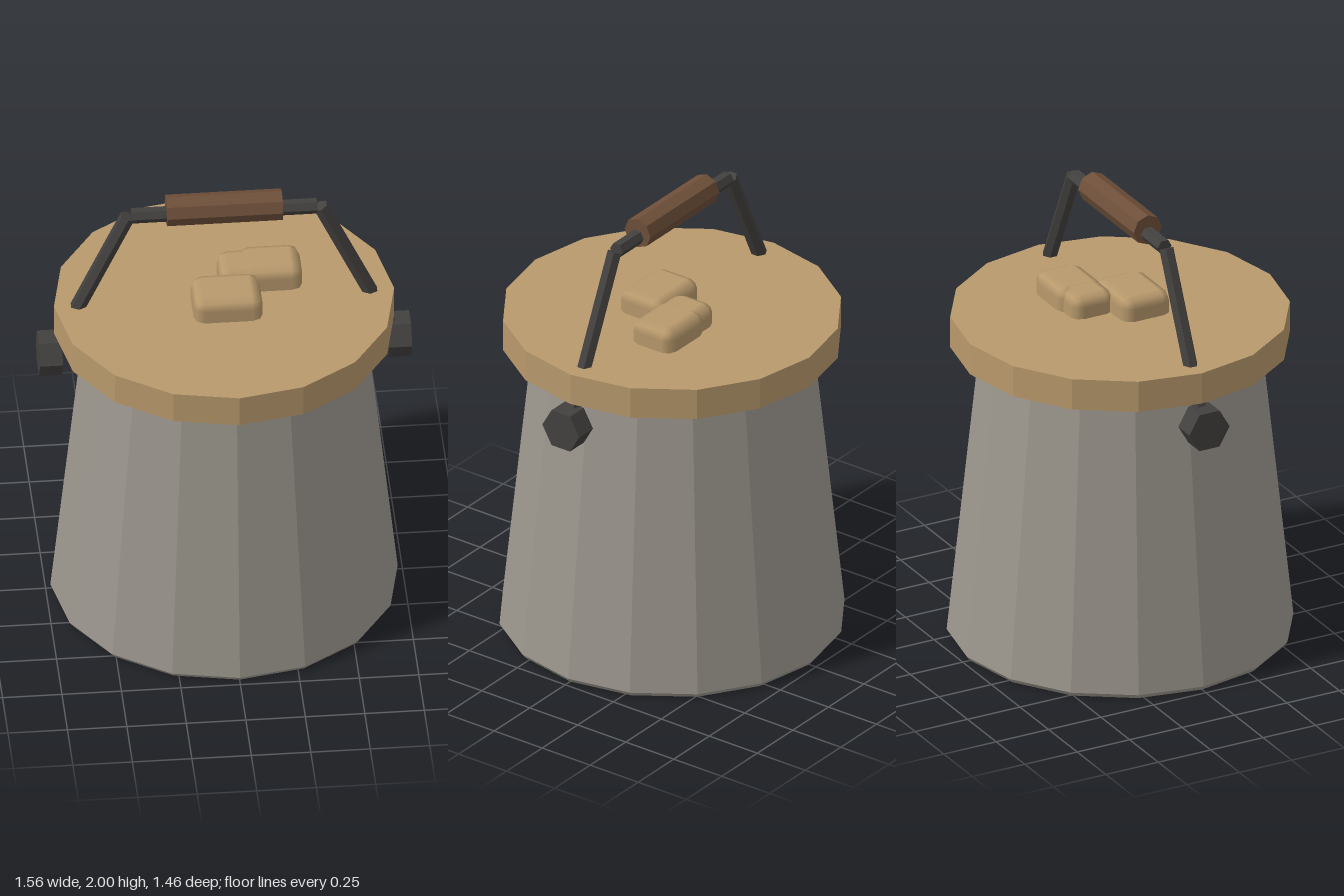
import * as THREE from 'three';
import { RoundedBoxGeometry } from 'three/addons/geometries/RoundedBoxGeometry.js';

const paint = (color) => new THREE.MeshStandardMaterial({ color, flatShading: true });
const steel = paint(0x9c978e);
const wood = paint(0xb8996c);
const iron = paint(0x43413f);
const gripWood = paint(0x6e4f39);
const knobWood = new THREE.MeshStandardMaterial({ color: 0xb8996c });

export function createModel() {
  const model = new THREE.Group();
  model.name = 'liddedPail';

  const add = (name, geometry, material, x = 0, y = 0, z = 0) => {
    const mesh = new THREE.Mesh(geometry, material);
    mesh.name = name;
    mesh.position.set(x, y, z);
    model.add(mesh);
    return mesh;
  };

  // Faceted rod between two points in the x-y plane
  const rod = (name, [x0, y0], [x1, y1], radius, sides, material) => {
    const length = Math.hypot(x1 - x0, y1 - y0);
    const mesh = add(name, new THREE.CylinderGeometry(radius, radius, length, sides),
      material, (x0 + x1) / 2, (y0 + y1) / 2);
    mesh.rotation.z = Math.atan2(y1 - y0, x1 - x0) - Math.PI / 2;
    return mesh;
  };

  // Tapered 16-sided body with a small bevel at the foot
  const profile = [[0, 0], [0.715, 0], [0.73, 0.02], [0.59, 1.34], [0, 1.34]]
    .map(([r, y]) => new THREE.Vector2(r, y));
  add('body', new THREE.LatheGeometry(profile, 16), steel);

  // Lid
  add('lid', new THREE.CylinderGeometry(0.715, 0.715, 0.14, 16), wood, 0, 1.395, 0);

  // Chamfered blocks on the lid: [x min, x max, z min, z max, top]
  const blocks = [
    [-0.14, 0.15, -0.05, 0.178, 1.566],
    [-0.015, 0.25, -0.222, -0.025, 1.562],
    [0.075, 0.335, -0.237, -0.025, 1.566],
  ];
  for (const [x0, x1, z0, z1, top] of blocks) {
    add('lidBlock', new RoundedBoxGeometry(x1 - x0, 0.18, z1 - z0, 1, 0.046), knobWood,
      (x0 + x1) / 2, top - 0.09, (z0 + z1) / 2);
  }

  // Side pivots and sloping handle arms
  for (const side of [-1, 1]) {
    rod('pivot', [side * 0.685, 1.226], [side * 0.782, 1.226], 0.096, 6, iron);
    rod('handleArm', [side * 0.718, 1.235], [side * 0.405, 1.914], 0.033, 6, iron);
  }

  // Top bar and octagonal grip
  rod('handleBar', [-0.39, 1.915], [0.39, 1.915], 0.033, 6, iron);
  rod('grip', [-0.243, 1.933], [0.243, 1.933], 0.067, 8, gripWood);

  return model;
}
